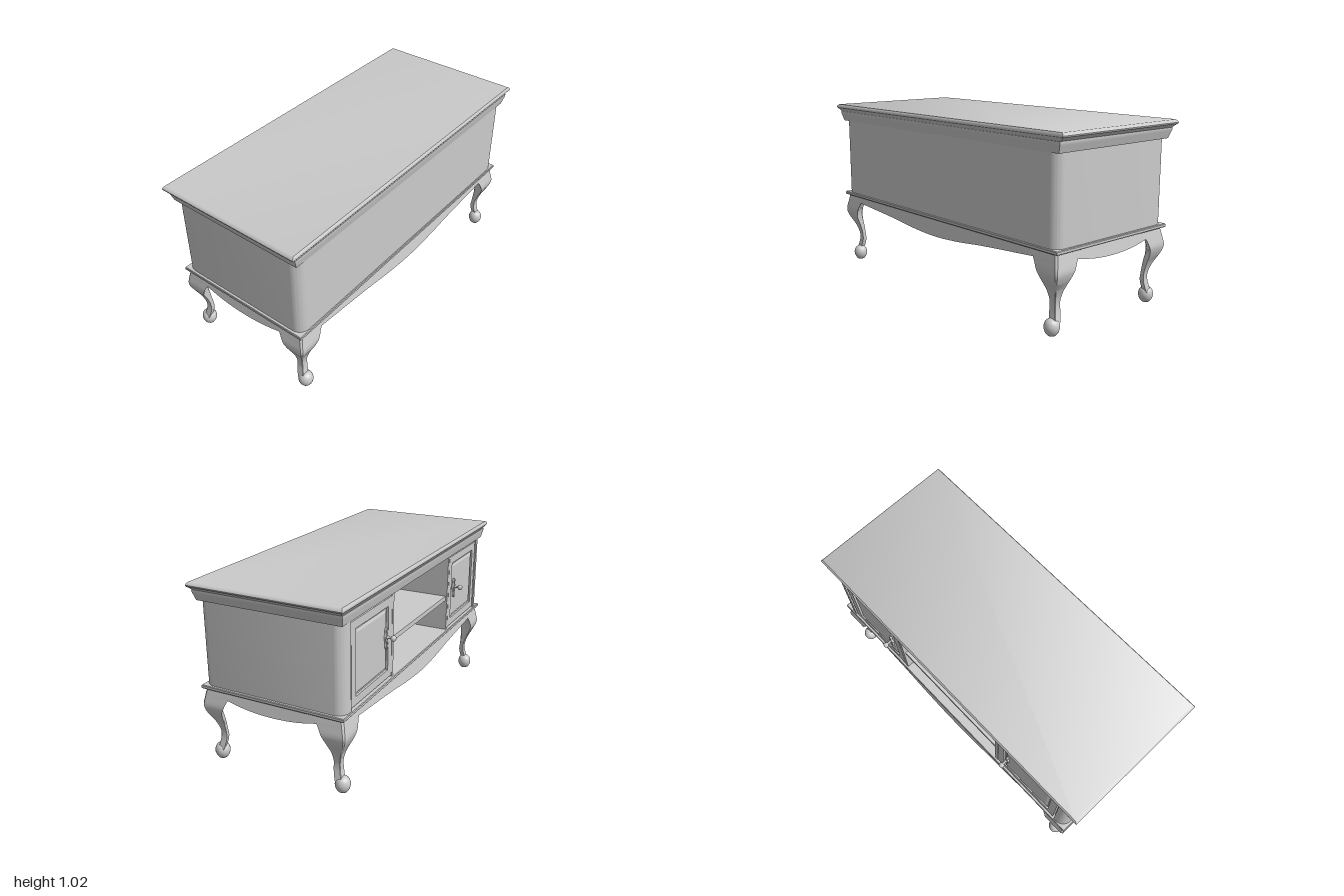
import * as THREE from 'three';
import { toCreasedNormals } from 'three/addons/utils/BufferGeometryUtils.js';

const MAT = new THREE.MeshStandardMaterial({ color: 0xcccccc });
const CZ = 0.0155; // middle of the cabinet depth

function add(parent, name, geo, x = 0, y = 0, z = 0) {
  const m = new THREE.Mesh(geo, MAT);
  m.name = name;
  m.position.set(x, y, z);
  parent.add(m);
  return m;
}

// Closed skin through rings listed bottom to top, each counter-clockwise from above
function loft(rings, crease = 0.6) {
  const pos = [];
  const tri = (...p) => p.forEach(v => pos.push(...v));
  const n = rings[0].length;
  for (let k = 0; k < rings.length - 1; k++) {
    for (let i = 0; i < n; i++) {
      const j = (i + 1) % n;
      const a = rings[k][i], b = rings[k][j], c = rings[k + 1][j], d = rings[k + 1][i];
      tri(a, b, c);
      tri(a, c, d);
    }
  }
  const lo = rings[0], hi = rings[rings.length - 1];
  for (let i = 1; i < n - 1; i++) {
    tri(hi[0], hi[i], hi[i + 1]);
    tri(lo[0], lo[i + 1], lo[i]);
  }
  const g = new THREE.BufferGeometry();
  g.setAttribute('position', new THREE.Float32BufferAttribute(pos, 3));
  return toCreasedNormals(g, crease);
}

// Rectangular moulding from rows of [y, half width, half depth]
const moulding = rows => loft(rows.map(([y, hx, hz]) => [
  [hx, y, CZ + hz], [hx, y, CZ - hz], [-hx, y, CZ - hz], [-hx, y, CZ + hz]]));

// Carcass plan: rounded corner posts, recessed door bays, open middle bay at the back
function carcass() {
  const s = new THREE.Shape();
  const P = Math.PI, r = 0.06;
  s.moveTo(-0.885, -0.43);
  s.lineTo(0.885, -0.43);
  s.absarc(0.885, -0.37, r, -P / 2, 0);
  s.lineTo(0.945, 0.34);
  s.absarc(0.885, 0.34, r, 0, P / 2);
  const bay = [[0.87, 0.4], [0.87, 0.375], [0.405, 0.375], [0.405, 0.395], [0.385, 0.395], [0.385, -0.41]];
  bay.forEach(([x, v]) => s.lineTo(x, v));
  bay.slice().reverse().forEach(([x, v]) => s.lineTo(-x, v));
  s.lineTo(-0.885, 0.4);
  s.absarc(-0.885, 0.34, r, P / 2, P);
  s.lineTo(-0.945, -0.37);
  s.absarc(-0.885, -0.37, r, P, 1.5 * P);
  const g = new THREE.ExtrudeGeometry(s, { depth: 0.468, bevelEnabled: false, curveSegments: 10 });
  return toCreasedNormals(g.rotateX(-P / 2), 0.5);
}

// Apron with a sagging lower edge; its face leans out toward the bottom
function apron(half, edge) {
  const s = new THREE.Shape();
  s.moveTo(half, 0.435);
  s.lineTo(-half, 0.435);
  const pts = edge.map(([x, y]) => new THREE.Vector2(-x, y));
  for (let i = edge.length - 2; i >= 0; i--) pts.push(new THREE.Vector2(...edge[i]));
  s.lineTo(pts[0].x, pts[0].y);
  s.splineThru(pts.slice(1));
  const g = new THREE.ExtrudeGeometry(s, { depth: 0.02, bevelEnabled: false, curveSegments: 24 });
  const p = g.attributes.position;
  for (let i = 0; i < p.count; i++) p.setZ(i, p.getZ(i) - 0.02 + (0.435 - p.getY(i)) * 0.18);
  return toCreasedNormals(g, 0.5);
}

// Cabriole leg: rows of [y, outer edge, inner edge], smoothed by a curve
const LEG = [[0.06, 0.397, 0.36], [0.09, 0.39, 0.351], [0.13, 0.382, 0.345], [0.17, 0.382, 0.346],
  [0.225, 0.398, 0.342], [0.29, 0.429, 0.327], [0.33, 0.44, 0.31], [0.385, 0.432, 0.282], [0.435, 0.422, 0.24]];

function leg(sx, sz) {
  const curve = new THREE.CatmullRomCurve3(LEG.map(r => new THREE.Vector3(...r)));
  const rings = curve.getPoints(32).map(({ x: y, y: o, z: i }) => {
    const full = THREE.MathUtils.clamp((0.34 - y) / 0.2, 0, 1) * 0.6; // inner face fills out at the ankle
    const m = (o + i) / 2 - full * (o - i) / 2;
    const c = (o - i) * 0.06;
    const ring = [[o - c, o], [o, o - c], [o, i], [m, m], [i, o]]
      .map(([a, b]) => [sx * (0.5 + 1.045 * a), y, CZ + sz * (b - CZ)]);
    return sx * sz < 0 ? ring.reverse() : ring;
  });
  return loft(rings, 0.7);
}

function rectPath(target, w, h) {
  target.moveTo(-w / 2, -h / 2);
  target.lineTo(w / 2, -h / 2);
  target.lineTo(w / 2, h / 2);
  target.lineTo(-w / 2, h / 2);
  target.closePath();
  return target;
}

// Framed door with a raised panel and a knob on a shaped plate; outside faces +z locally
function door(side) {
  const d = new THREE.Group();
  const w = 0.45, h = 0.445;
  const frame = rectPath(new THREE.Shape(), w, h);
  frame.holes.push(rectPath(new THREE.Path(), w - 0.09, h - 0.09));
  add(d, 'doorFrame', new THREE.ExtrudeGeometry(frame, { depth: 0.02, bevelEnabled: false }));
  add(d, 'doorBack', new THREE.BoxGeometry(w - 0.08, h - 0.08, 0.008), 0, 0, 0.004);
  const panel = rectPath(new THREE.Shape(), w - 0.14, h - 0.14);
  add(d, 'doorPanel', new THREE.ExtrudeGeometry(panel,
    { depth: 0.004, bevelSize: 0.015, bevelThickness: 0.006, bevelSegments: 1 }), 0, 0, 0.008);

  const handle = new THREE.Group();
  handle.name = 'handle';
  const plate = new THREE.Shape();
  plate.setFromPoints(new THREE.SplineCurve([[0, -0.06], [0.009, -0.045], [0.006, -0.025], [0.015, 0.005], [0.006, 0.03],
    [0.009, 0.047], [0, 0.06], [-0.009, 0.047], [-0.006, 0.03], [-0.015, 0.005], [-0.006, -0.025], [-0.009, -0.045],
    [0, -0.06]].map(p => new THREE.Vector2(...p))).getPoints(48));
  add(handle, 'handlePlate', new THREE.ExtrudeGeometry(plate, { depth: 0.014, bevelEnabled: false }), 0, 0, 0.016);
  const knob = [[0, 0], [0.01, 0], [0.01, 0.006], [0.006, 0.01], [0.006, 0.023], [0.012, 0.026], [0.016, 0.034],
    [0.016, 0.04], [0.011, 0.048], [0, 0.051]].map(p => new THREE.Vector2(...p));
  add(handle, 'knob', new THREE.LatheGeometry(knob, 16).rotateX(Math.PI / 2), 0, 0.007, 0.029);
  handle.position.set(side * 0.148, 0.013, 0);
  d.add(handle);

  d.name = side > 0 ? 'leftDoor' : 'rightDoor';
  d.rotation.y = Math.PI;
  d.position.set(side * 0.633, 0.6825, -0.375);
  return d;
}

export function createModel() {
  const g = new THREE.Group();
  g.name = 'mediaCabinet';

  // Top board, cornice and cabinet
  add(g, 'topBoard', moulding([[0.972, 0.968, 0.422], [0.978, 0.975, 0.426], [0.99, 0.99, 0.434], [0.995, 0.998, 0.439],
    [1.002, 1, 0.44], [1.01, 0.996, 0.438], [1.017, 0.985, 0.432]]));
  add(g, 'cornice', moulding([[0.915, 0.953, 0.416], [0.925, 0.957, 0.419], [0.94, 0.962, 0.422], [0.955, 0.968, 0.426],
    [0.965, 0.971, 0.428], [0.974, 0.971, 0.428]]));
  add(g, 'carcass', carcass(), 0, 0.449, 0);
  add(g, 'shelf', new THREE.BoxGeometry(0.775, 0.028, 0.795), 0, 0.652, 0.0125);
  add(g, 'baseBand', moulding([[0.43, 0.957, 0.42], [0.434, 0.96, 0.423], [0.446, 0.96, 0.423], [0.45, 0.957, 0.42]]));
  for (const s of [1, -1]) g.add(door(s));

  // Aprons on all four sides
  const long = apron(0.8, [[0.8, 0.391], [0.6, 0.377], [0.4, 0.362], [0.2, 0.343], [0, 0.334]]);
  const short = apron(0.275, [[0.275, 0.386], [0.18, 0.368], [0.09, 0.358], [0, 0.355]]);
  add(g, 'frontApron', long, 0, 0, 0.42);
  add(g, 'backApron', long, 0, 0, 2 * CZ - 0.42).rotation.y = Math.PI;
  for (const s of [1, -1]) add(g, s > 0 ? 'leftApron' : 'rightApron', short, s * 0.939, 0, CZ).rotation.y = s * Math.PI / 2;

  // Cabriole legs with ball feet
  const ball = new THREE.SplineCurve([[0.022, 0], [0.035, 0.018], [0.041, 0.043], [0.035, 0.068], [0.02, 0.083], [0.001, 0.087]]
    .map(p => new THREE.Vector2(...p))).getPoints(14);
  const foot = new THREE.LatheGeometry([new THREE.Vector2(0, 0), ...ball], 24);
  for (const sx of [1, -1]) {
    for (const sz of [1, -1]) {
      const name = (sz > 0 ? 'front' : 'back') + (sx > 0 ? 'Left' : 'Right');
      add(g, name + 'Leg', leg(sx, sz));
      add(g, name + 'Foot', foot, sx * 0.885, 0, CZ + sz * 0.373);
    }
  }
  return g;
}
